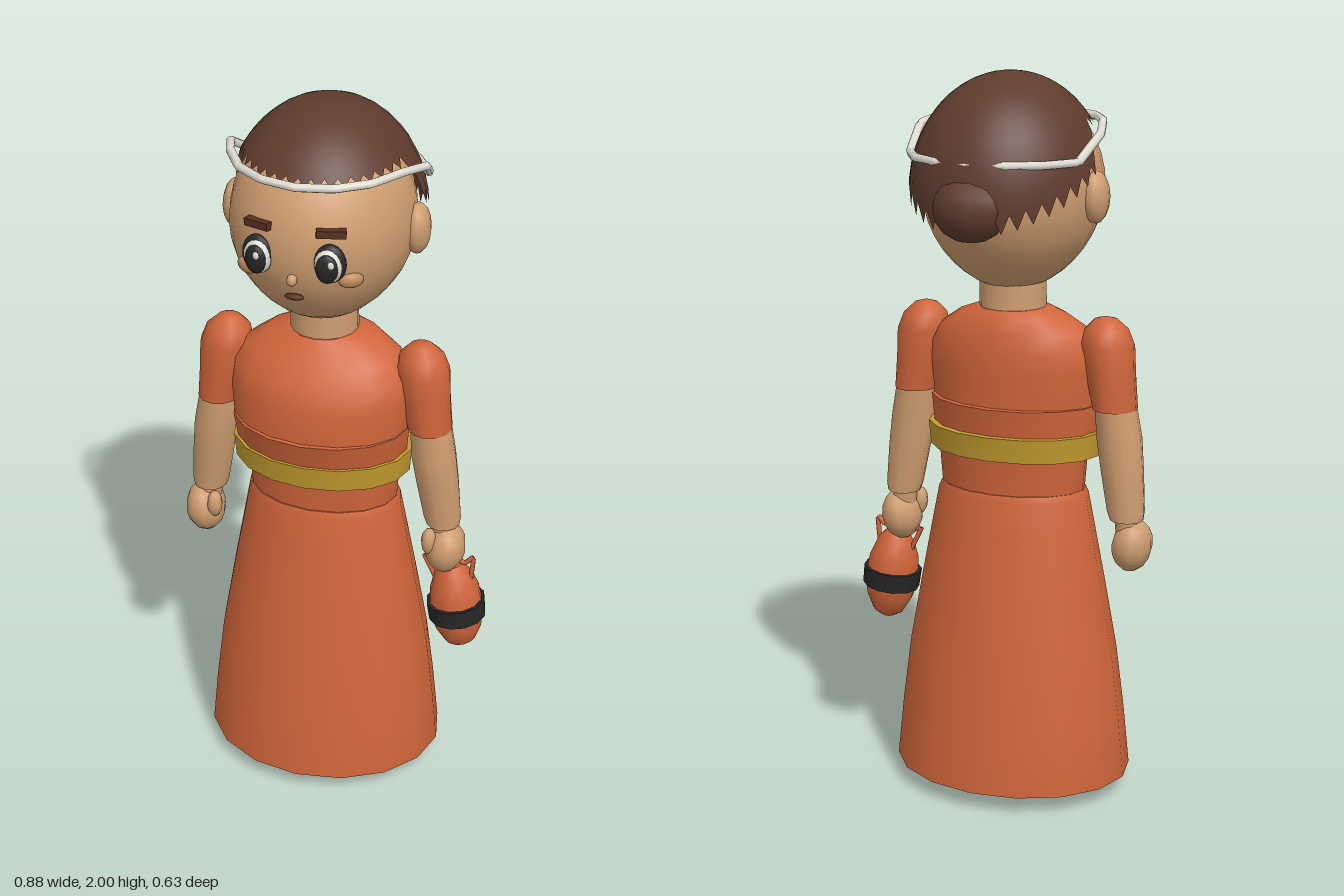
import * as THREE from 'three';

const mat = (name, color, side = THREE.FrontSide) => {
  const m = new THREE.MeshStandardMaterial({ color, side });
  m.name = name;
  return m;
};

// Stack of elliptical rings [y, rx, rz, cx, cz], capped at both ends; a repeated ring makes a crease
function loft(rings, sides = 16) {
  const first = rings[0], last = rings[rings.length - 1];
  const tip = ([y, , , cx, cz]) => [y, 0, 0, cx, cz];
  const all = [tip(first), first, ...rings, last, tip(last)];
  const pos = [], idx = [];
  all.forEach(([y, rx, rz, cx = 0, cz = 0.033], i) => {
    for (let j = 0; j < sides; j++) {
      const a = (j / sides) * Math.PI * 2;
      pos.push(cx + rx * Math.sin(a), y, cz + rz * Math.cos(a));
      if (i === all.length - 1) continue;
      const k = (j + 1) % sides, p = i * sides, q = p + sides;
      idx.push(p + j, p + k, q + k, p + j, q + k, q + j);
    }
  });
  const g = new THREE.BufferGeometry();
  g.setAttribute('position', new THREE.Float32BufferAttribute(pos, 3));
  g.setIndex(idx);
  g.computeVertexNormals();
  return g;
}

export function createModel() {
  const skin = mat('skin', 0xcf9d70);
  const blush = mat('cheek skin', 0xc08a5c);
  const cloth = mat('orange cloth', 0xd0653b);
  const sash = mat('yellow sash', 0xc29a2f);
  const hairMat = mat('brown hair', 0x5f3c2e, THREE.DoubleSide);
  const brown = mat('dark brown', 0x56301f);
  const white = mat('off white', 0xe4e0d6);
  const black = mat('black', 0x262626);

  const model = new THREE.Group();
  model.name = 'woman';
  const body = new THREE.Group();
  body.name = 'body';
  body.position.x = -0.033;
  model.add(body);

  const add = (name, geo, m, parent = body) => {
    const mesh = new THREE.Mesh(geo, m);
    mesh.name = name;
    parent.add(mesh);
    return mesh;
  };
  const ball = (name, m, p, s, ws = 16, hs = 12, parent = body) => {
    const mesh = add(name, new THREE.SphereGeometry(1, ws, hs), m, parent);
    mesh.position.set(...p);
    mesh.scale.set(...s);
    return mesh;
  };

  // Hollow skirt: inside wall down, outside wall up
  add('skirt', loft([
    [0.8, 0.2, 0.15], [0.4, 0.28, 0.215], [0.05, 0.33, 0.272],
    [0.05, 0.338, 0.282], [0.22, 0.322, 0.26], [0.4, 0.3, 0.235], [0.6, 0.264, 0.203],
    [0.76, 0.234, 0.173], [0.85, 0.217, 0.156], [0.87, 0.208, 0.148],
  ]), cloth);

  // Bodice and sash
  add('waist', loft([[0.86, 0.206, 0.143], [0.99, 0.216, 0.152]]), cloth);
  add('sash', loft([[0.968, 0.246, 0.176, 0, 0.046], [1.035, 0.251, 0.184, 0, 0.046]]), sash);
  add('bodiceHem', loft([[1.03, 0.238, 0.168, 0, 0.052], [1.11, 0.246, 0.186, 0, 0.058]]), cloth);
  add('bodice', loft([
    [1.1, 0.242, 0.168, 0, 0.062], [1.2, 0.25, 0.17, 0, 0.06], [1.26, 0.245, 0.155, 0, 0.05],
    [1.31, 0.215, 0.135, 0, 0.038], [1.35, 0.155, 0.112, 0, 0.028], [1.37, 0.1, 0.094, 0, 0.027],
  ]), cloth);
  add('neck', loft([[1.33, 0.092, 0.092, 0, 0.027], [1.46, 0.09, 0.09, 0, 0.027]]), skin);

  // Head, narrowing a little to the chin
  const headGeo = new THREE.SphereGeometry(1, 28, 20);
  const hp = headGeo.attributes.position;
  for (let i = 0; i < hp.count; i++) {
    const y = hp.getY(i), k = y < 0 ? 1 - 0.1 * y * y : 1;
    hp.setXYZ(i, hp.getX(i) * 0.242 * k, 1.69 + y * 0.275, 0.03 + hp.getZ(i) * 0.265 * k);
  }
  headGeo.computeVertexNormals();
  add('head', headGeo, skin);

  // Hair cap with a high front edge falling behind the ears
  const hairGeo = new THREE.SphereGeometry(1, 40, 12);
  const hv = hairGeo.attributes.position, uv = hairGeo.attributes.uv;
  for (let i = 0; i < hv.count; i++) {
    const phi = uv.getX(i) * Math.PI * 2, c = Math.sin(phi);
    const drop = THREE.MathUtils.clamp((0.1 - c) / 0.16, 0, 1);
    const rim = c > -0.06 ? 1.862 - 0.117 * drop : 1.745 + (c + 0.06) * 0.155;
    const th = (1 - uv.getY(i)) * Math.acos((rim - 1.69) / 0.31);
    hv.setXYZ(i, -0.262 * Math.cos(phi) * Math.sin(th), 1.69 + 0.31 * Math.cos(th),
      0.005 + 0.292 * c * Math.sin(th));
  }
  hairGeo.computeVertexNormals();
  add('hair', hairGeo, hairMat);
  ball('bun', hairMat, [0, 1.67, -0.235], [0.105, 0.09, 0.087], 10, 8);

  // Headband following the hairline, lower at the back
  const bandPts = [];
  for (let i = 0; i < 16; i++) {
    const a = (i / 16) * Math.PI * 2, z = 0.262 * Math.cos(a);
    const t = THREE.MathUtils.clamp((0.03 - z) / 0.12, 0, 1);
    const r = z > 0.05 ? 0.245 : 0.262;
    bandPts.push(new THREE.Vector3(r * Math.sin(a), 1.87 - 0.085 * t, z));
  }
  add('headband', new THREE.TubeGeometry(
    new THREE.CatmullRomCurve3(bandPts, true, 'catmullrom', 0), 96, 0.012, 6, true), white);

  // Nose and mouth
  ball('nose', skin, [0, 1.63, 0.293], [0.014, 0.016, 0.016], 10, 8);
  ball('mouth', brown, [0, 1.575, 0.276], [0.027, 0.008, 0.012], 10, 6);

  for (const s of [1, -1]) {
    const side = s > 0 ? 'left' : 'right';

    // Face
    ball(side + 'Ear', skin, [s * 0.245, 1.68, 0.013], [0.036, 0.07, 0.048], 10, 8);
    const eye = new THREE.Group();
    eye.name = side + 'Eye';
    eye.position.set(s * 0.092, 1.68, 0.277);
    eye.rotation.y = s * 0.15;
    body.add(eye);
    ball('lashes', black, [s * 0.003, 0.003, 0], [0.042, 0.053, 0.022], 16, 12, eye);
    ball('eyeWhite', white, [0, 0, 0.004], [0.037, 0.048, 0.028], 16, 12, eye);
    ball('pupil', black, [-s * 0.002, -0.002, 0.022], [0.029, 0.039, 0.015], 16, 12, eye);
    ball('glint', white, [0.01, 0.014, 0.034], [0.009, 0.011, 0.005], 8, 6, eye);
    const brow = add(side + 'Brow', new THREE.BoxGeometry(0.075, 0.02, 0.022), brown);
    brow.position.set(s * 0.095, 1.762, 0.268);
    brow.rotation.set(0, s * 0.38, -s * 0.06, 'YXZ');
    const cheek = ball(side + 'Cheek', blush, [s * 0.138, 1.625, 0.238], [0.033, 0.021, 0.016], 12, 8);
    cheek.rotation.y = s * 0.55;

    // Arm
    add(side + 'Sleeve', loft([
      [1.11, 0.06, 0.068, s * 0.298, 0.037], [1.2, 0.066, 0.072, s * 0.285, 0.037],
      [1.28, 0.073, 0.073, s * 0.275, 0.036], [1.325, 0.06, 0.06, s * 0.27, 0.036],
      [1.352, 0.032, 0.032, s * 0.268, 0.036], [1.358, 0.01, 0.01, s * 0.268, 0.036],
    ], 12), cloth);
    add(side + 'Forearm', loft([
      [0.805, 0.046, 0.046, s * 0.339, 0.03], [0.83, 0.053, 0.047, s * 0.336, 0.03],
      [0.94, 0.059, 0.058, s * 0.322, 0.035], [1.03, 0.062, 0.063, s * 0.31, 0.04],
      [1.13, 0.055, 0.062, s * 0.298, 0.037],
    ], 12), skin);
    add(side + 'Wrist', loft([[0.74, 0.035, 0.035, s * 0.345, 0.035],
      [0.82, 0.035, 0.035, s * 0.338, 0.033]], 10), skin);
    const hand = ball(side + 'Hand', skin, [s * 0.352, 0.732, 0.04], [0.055, 0.074, 0.068], 10, 8);
    hand.rotation.z = -s * 0.12;
    ball(side + 'Thumb', skin, [s * 0.312, 0.765, 0.075], [0.022, 0.04, 0.026], 8, 6);

    // Leg and sandal
    const x = s * 0.115;
    add(side + 'Leg', loft([
      [0.04, 0.048, 0.055, x, 0.035], [0.13, 0.042, 0.045, x, 0.025],
      [0.3, 0.06, 0.062, x, 0.02], [0.5, 0.065, 0.065, x * 0.9, 0.025],
    ], 12), skin);
    add(side + 'Foot', loft([[0.025, 0.056, 0.11, x, 0.095], [0.048, 0.046, 0.095, x, 0.085],
      [0.07, 0.04, 0.06, x, 0.05]], 14), skin);
    add(side + 'Sole', loft([[0, 0.067, 0.124, x, 0.097], [0.016, 0.069, 0.126, x, 0.097]]), brown);
    add(side + 'Shoe', loft([[0.016, 0.062, 0.118, x, 0.097], [0.032, 0.066, 0.122, x, 0.097],
      [0.05, 0.058, 0.108, x, 0.097]]), brown);
    add(side + 'AnkleStrap', loft([[0.11, 0.053, 0.056, x, 0.027],
      [0.135, 0.053, 0.056, x, 0.026]], 12), brown);
  }

  // Egg-shaped bag hanging from the left hand
  const bag = new THREE.Group();
  bag.name = 'bag';
  bag.position.set(0.353, 0.55, 0.04);
  bag.rotation.z = 0.13;
  model.add(bag);
  add('bagBody', loft([
    [-0.132, 0.02, 0.02, 0, 0], [-0.115, 0.044, 0.044, 0, 0], [-0.07, 0.066, 0.066, 0, 0],
    [-0.01, 0.076, 0.076, 0, 0], [0.05, 0.07, 0.07, 0, 0], [0.1, 0.052, 0.052, 0, 0],
    [0.13, 0.028, 0.028, 0, 0],
  ], 12), cloth, bag);
  add('bagBand', loft([[-0.037, 0.081, 0.081, 0, 0], [0.016, 0.083, 0.083, 0, 0]], 12), black, bag);
  const handle = [[-0.05, 0.08], [-0.075, 0.155], [-0.04, 0.135], [0, 0.15], [0.04, 0.135], [0.066, 0.155], [0.05, 0.08]]
    .map(([x, y]) => new THREE.Vector3(x, y, 0));
  add('bagHandle', new THREE.TubeGeometry(
    new THREE.CatmullRomCurve3(handle, false, 'catmullrom', 0.1), 36, 0.007, 6), cloth, bag);

  return model;
}
